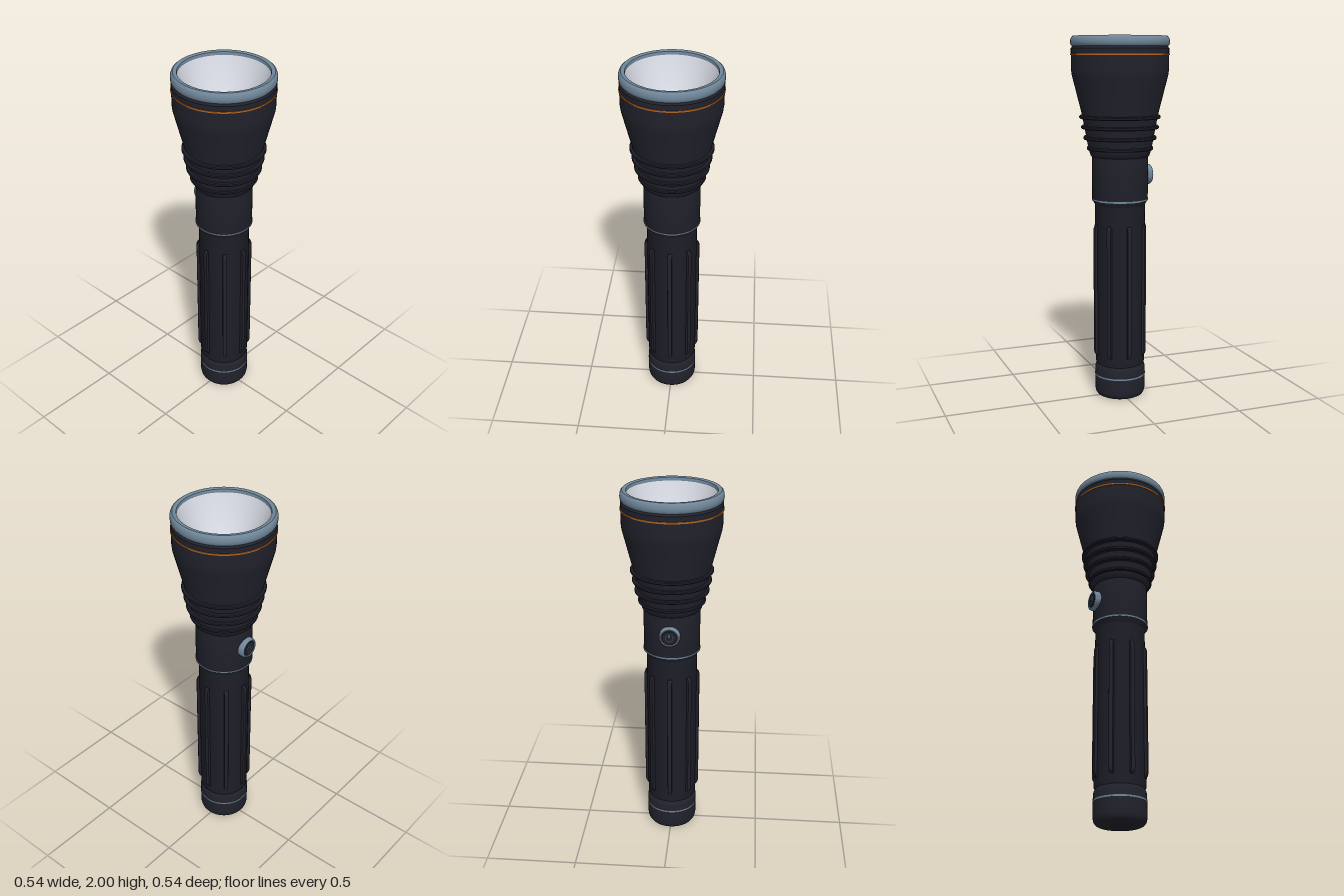
import * as THREE from 'three';
import { toCreasedNormals } from 'three/addons/utils/BufferGeometryUtils.js';

const paint = (name, color) => {
  const m = new THREE.MeshStandardMaterial({ color });
  m.name = name;
  return m;
};

export function createModel() {
  const black = paint('anodised black', 0x22222d);
  const steel = paint('blue steel', 0x70879a);
  const silver = paint('reflector silver', 0xd2d5de);
  const orange = paint('orange', 0xb8641e);
  const glow = paint('emitter yellow', 0xdcdeb4);

  const model = new THREE.Group();
  model.name = 'flashlight';

  const add = (name, geometry, material, parent = model) => {
    const mesh = new THREE.Mesh(geometry, material);
    mesh.name = name;
    parent.add(mesh);
    return mesh;
  };
  // Turned part from [radius, height] pairs, listed bottom to top on the outside
  const turned = (name, profile, material, parent, segments = 72) => {
    const points = profile.map(([r, y]) => new THREE.Vector2(r, y));
    return add(name, toCreasedNormals(new THREE.LatheGeometry(points, segments), 0.6), material, parent);
  };
  // Thin inlaid band around the body
  const band = (name, r, y, h, material) =>
    turned(name, [[r - 0.01, y - h / 2], [r, y - h / 2], [r, y + h / 2], [r - 0.01, y + h / 2]], material);

  // Tail cap
  turned('tailCap', [
    [0, 0], [0.118, 0], [0.128, 0.005], [0.136, 0.017], [0.14, 0.035],
    [0.14, 0.16], [0.137, 0.172], [0.13, 0.185],
  ], black);
  band('tailBand', 0.1415, 0.12, 0.009, steel);

  // Handle tube
  turned('handle', [[0.128, 0.16], [0.13, 0.185], [0.1375, 0.2], [0.1375, 1.09], [0.15, 1.115]], black);

  // Grip ribs around the handle
  const ribShape = new THREE.Shape([
    [0.125, 0.24], [0.139, 0.24], [0.146, 0.25], [0.15, 0.265],
    [0.15, 0.955], [0.146, 0.97], [0.139, 0.98], [0.125, 0.98],
  ].map(([x, y]) => new THREE.Vector2(x, y)));
  const ribGeometry = new THREE.ExtrudeGeometry(ribShape, {
    depth: 0.018, bevelEnabled: true, bevelSize: 0.003, bevelThickness: 0.003, bevelSegments: 2,
  }).translate(0, 0, -0.009);
  for (let i = 0; i < 8; i++) {
    add('gripRib', ribGeometry, black).rotation.y = (i * Math.PI) / 4;
  }

  // Switch collar
  turned('switchCollar', [[0.1375, 1.09], [0.15, 1.112], [0.153, 1.12], [0.153, 1.37]], black);
  band('collarBand', 0.1555, 1.12, 0.009, steel);

  // Flared head
  turned('head', [
    [0.15, 1.352], [0.16, 1.36], [0.168, 1.385], [0.176, 1.42], [0.206, 1.58],
    [0.255, 1.775], [0.26, 1.795], [0.263, 1.82], [0.264, 1.935], [0.258, 1.943], [0.25, 1.95],
  ], black);

  // Cooling fins
  [[1.4, 0.181], [1.457, 0.199], [1.515, 0.211], [1.57, 0.221]].forEach(([y, r]) =>
    turned('coolingFin', [
      [r - 0.03, y - 0.011], [r - 0.004, y - 0.009], [r, y - 0.004],
      [r, y + 0.004], [r - 0.004, y + 0.009], [r - 0.03, y + 0.011],
    ], black));
  band('accentBand', 0.2675, 1.903, 0.008, orange);

  // Bezel, running over the lip and down to the reflector
  turned('bezel', [
    [0.25, 1.945], [0.26, 1.947], [0.2655, 1.955], [0.267, 1.968], [0.2655, 1.983],
    [0.261, 1.994], [0.254, 2], [0.24, 2], [0.234, 1.997], [0.232, 1.99], [0.232, 1.97],
  ], steel);

  // Parabolic reflector bowl
  const bowl = [];
  for (let i = 0; i <= 20; i++) {
    const r = 0.232 - (0.18 * i) / 20;
    bowl.push([r, 1.71 + 0.27 * (r / 0.232) ** 2]);
  }
  turned('reflector', bowl, silver);

  // Emitter
  turned('emitterBase', [[0.054, 1.715], [0.053, 1.728], [0, 1.728]], orange);
  turned('emitter', [[0.038, 1.725], [0.038, 1.734], [0, 1.736]], glow);

  // Power switch on the back, built facing +z and turned around
  const button = new THREE.Group();
  button.name = 'powerSwitch';
  button.position.y = 1.25;
  button.rotation.y = Math.PI;
  model.add(button);
  turned('switchRing', [
    [0.056, 0.13], [0.056, 0.166], [0.053, 0.174], [0.048, 0.178], [0.043, 0.176], [0.041, 0.168],
  ], steel, button, 40).rotation.x = Math.PI / 2;
  turned('switchPad', [[0.042, 0.15], [0.042, 0.172], [0.038, 0.177], [0, 0.179]], black, button, 40)
    .rotation.x = Math.PI / 2;
  const arc = add('switchMarkArc', new THREE.TorusGeometry(0.02, 0.0027, 6, 28, Math.PI * 1.6), steel, button);
  arc.position.z = 0.179;
  arc.rotation.z = Math.PI * 0.7;
  add('switchMarkBar', new THREE.BoxGeometry(0.005, 0.022, 0.005), steel, button).position.set(0, 0.014, 0.179);

  return model;
}
